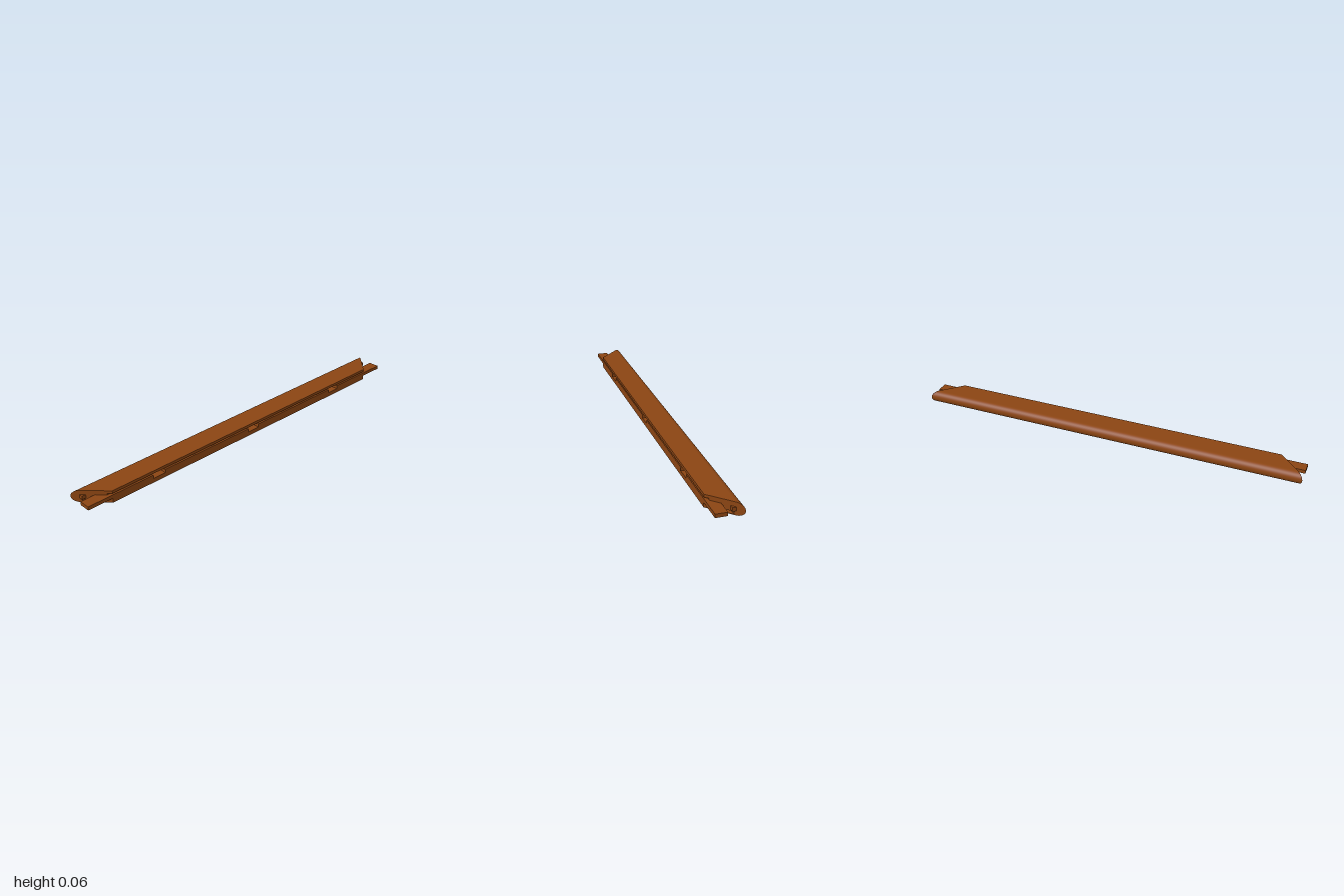
import * as THREE from 'three';

const FRONT = 0.067, BACK = -0.067, HEIGHT = 0.062;
const R = HEIGHT / 2;
const SPLIT = BACK + R; // where the flat faces meet the rounded edge

// x of the mitred end at depth z
const miter = (z) => 1 - (z - BACK) * 0.97;

export function createModel() {
  const group = new THREE.Group();
  group.name = 'frameRail';
  const wood = new THREE.MeshStandardMaterial({ color: 0x8b4513 });
  wood.name = 'brown wood';

  const add = (name, geometry) => {
    const mesh = new THREE.Mesh(geometry, wood);
    mesh.name = name;
    group.add(mesh);
  };

  // Horizontal slab: right-hand outline [x, z] from front to back, mirrored.
  // Front cut-outs are given on both sides, from left to right.
  const layer = (name, y0, y1, half, frontCuts = []) => {
    const left = half.map(([x, z]) => [-x, z]).reverse();
    const shape = new THREE.Shape(
      [...left, ...frontCuts, ...half].map(([x, z]) => new THREE.Vector2(x, -z)));
    const g = new THREE.ExtrudeGeometry(shape, { depth: y1 - y0, bevelEnabled: false });
    g.rotateX(-Math.PI / 2);
    g.translate(0, y0, 0);
    add(name, g);
  };
  const at = (z) => [miter(z), z];

  // Lower body, with a small pocket in each mitred face
  layer('bottomFace', 0, 0.003, [at(FRONT), at(SPLIT)]);
  layer('pocketLayer', 0.003, 0.016, [
    at(FRONT), at(-0.007), [miter(-0.007) - 0.03, -0.007],
    [miter(-0.007) - 0.03, -0.03], at(-0.03), at(SPLIT),
  ]);
  layer('lowerBody', 0.016, 0.022, [at(FRONT), at(SPLIT)]);

  // Middle layer: three front mortises, end tenons and locating pins
  const mortises = [-0.607, 0, 0.607].flatMap((x) => [
    [x - 0.035, FRONT], [x - 0.035, 0.02], [x + 0.035, 0.02], [x + 0.035, FRONT],
  ]);
  layer('tenonLayer', 0.022, 0.04, [
    at(FRONT), [1, FRONT], [1, 0.011], at(0.011),
    at(-0.018), [0.973, -0.018], [0.973, SPLIT], at(SPLIT),
  ], mortises);

  // Panel groove and upper lip
  layer('grooveLayer', 0.04, 0.048, [at(0.05), at(SPLIT)]);
  layer('upperLip', 0.048, HEIGHT, [at(FRONT), at(SPLIT)]);

  // Half-round back edge, sheared to the mitre
  const round = new THREE.CylinderGeometry(R, R, 2, 32, 1, false, Math.PI / 2, Math.PI);
  round.rotateZ(Math.PI / 2);
  round.translate(0, R, SPLIT);
  const p = round.attributes.position;
  for (let i = 0; i < p.count; i++) p.setX(i, Math.sign(p.getX(i)) * miter(p.getZ(i)));
  round.computeVertexNormals();
  add('roundedBackEdge', round);

  return group;
}
